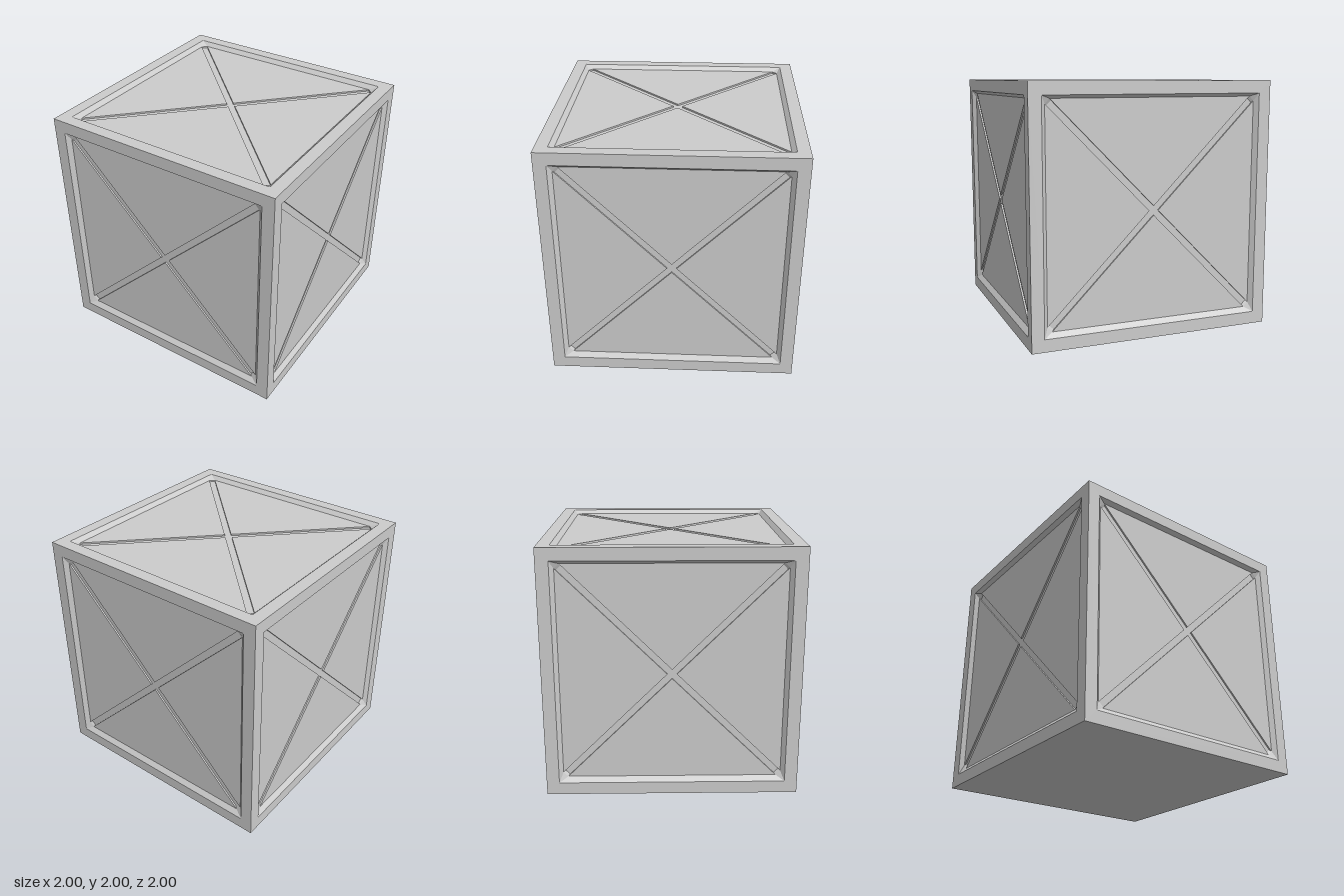
import * as THREE from 'three';

const OPEN = 0.9;      // half size of the frame opening
const INNER = 0.867;   // half size of the sunken panel
const SLOT = 0.037;    // half diagonal of the groove crossing
const PANEL_Z = 0.967; // panel distance from the cube centre
const FLOOR_Z = 0.954; // groove floor distance from the cube centre

// Flat-shaded geometry from convex polygons, corners anticlockwise from outside
function polygons(faces) {
  const pos = [];
  for (const f of faces)
    for (let i = 1; i < f.length - 1; i++) pos.push(...f[0], ...f[i], ...f[i + 1]);
  const geo = new THREE.BufferGeometry();
  geo.setAttribute('position', new THREE.Float32BufferAttribute(pos, 3));
  geo.computeVertexNormals();
  return geo;
}

// One side of the crate, facing +z; shift raises the panel, slope leans the groove ends
function createSide(name, material, shift, slope) {
  const t = INNER - SLOT, s = slope;
  const parts = { frame: [], bevel: [], panel: [], groove: [] };
  for (let k = 0; k < 4; k++) {
    const c = [1, 0, -1, 0][k], n = [0, 1, 0, -1][k];
    const at = (x, y, z) => [x * c - y * n, x * n + y * c + (z < 1 ? shift : 0), z];
    const top = (x, y) => at(x, y, 1);
    const mid = (x, y) => at(x, y, PANEL_Z);
    const low = (x, y) => at(x, y, FLOOR_Z);

    // Frame bar, sloping bevel and the clipped corner
    parts.frame.push([top(-1, -1), top(1, -1), top(OPEN, -OPEN), top(-OPEN, -OPEN)]);
    parts.bevel.push(
      [top(-OPEN, -OPEN), top(OPEN, -OPEN), mid(t, -INNER), mid(-t, -INNER)],
      [top(-OPEN, -OPEN), mid(-t, -INNER), mid(-INNER, -t)]);

    // Triangular quarter of the panel
    parts.panel.push([mid(-t, -INNER), mid(t, -INNER), mid(0, -SLOT)]);

    // Groove arm: floor, sloping end and both side walls
    const b1 = mid(-t, -INNER), b2 = mid(-INNER, -t);
    const c1 = low(-t + s, -INNER + s), c2 = low(-INNER + s, -t + s);
    parts.groove.push(
      [c1, low(0, -SLOT), low(0, 0), low(-SLOT, 0), c2],
      [b1, c1, c2, b2],
      [b1, mid(0, -SLOT), low(0, -SLOT), c1],
      [b2, c2, low(-SLOT, 0), mid(-SLOT, 0)]);
  }
  const side = new THREE.Group();
  side.name = name;
  for (const [part, faces] of Object.entries(parts)) {
    const mesh = new THREE.Mesh(polygons(faces), material);
    mesh.name = part;
    side.add(mesh);
  }
  return side;
}

export function createModel() {
  const model = new THREE.Group();
  model.name = 'crate';
  const grey = new THREE.MeshStandardMaterial({ color: 0xcccccc, flatShading: true, side: THREE.DoubleSide });
  grey.name = 'light grey';

  // Four upright sides
  ['frontSide', 'leftSide', 'backSide', 'rightSide'].forEach((name, i) => {
    const side = createSide(name, grey, 0.008, 0.014);
    side.rotation.y = i * Math.PI / 2;
    side.position.y = 1;
    model.add(side);
  });

  // Lid
  const lid = createSide('topSide', grey, 0, 0);
  lid.rotation.x = -Math.PI / 2;
  lid.position.y = 1;
  model.add(lid);

  // Plain base
  const base = new THREE.Mesh(new THREE.PlaneGeometry(2, 2), grey);
  base.name = 'base';
  base.rotation.x = Math.PI / 2;
  model.add(base);
  return model;
}
